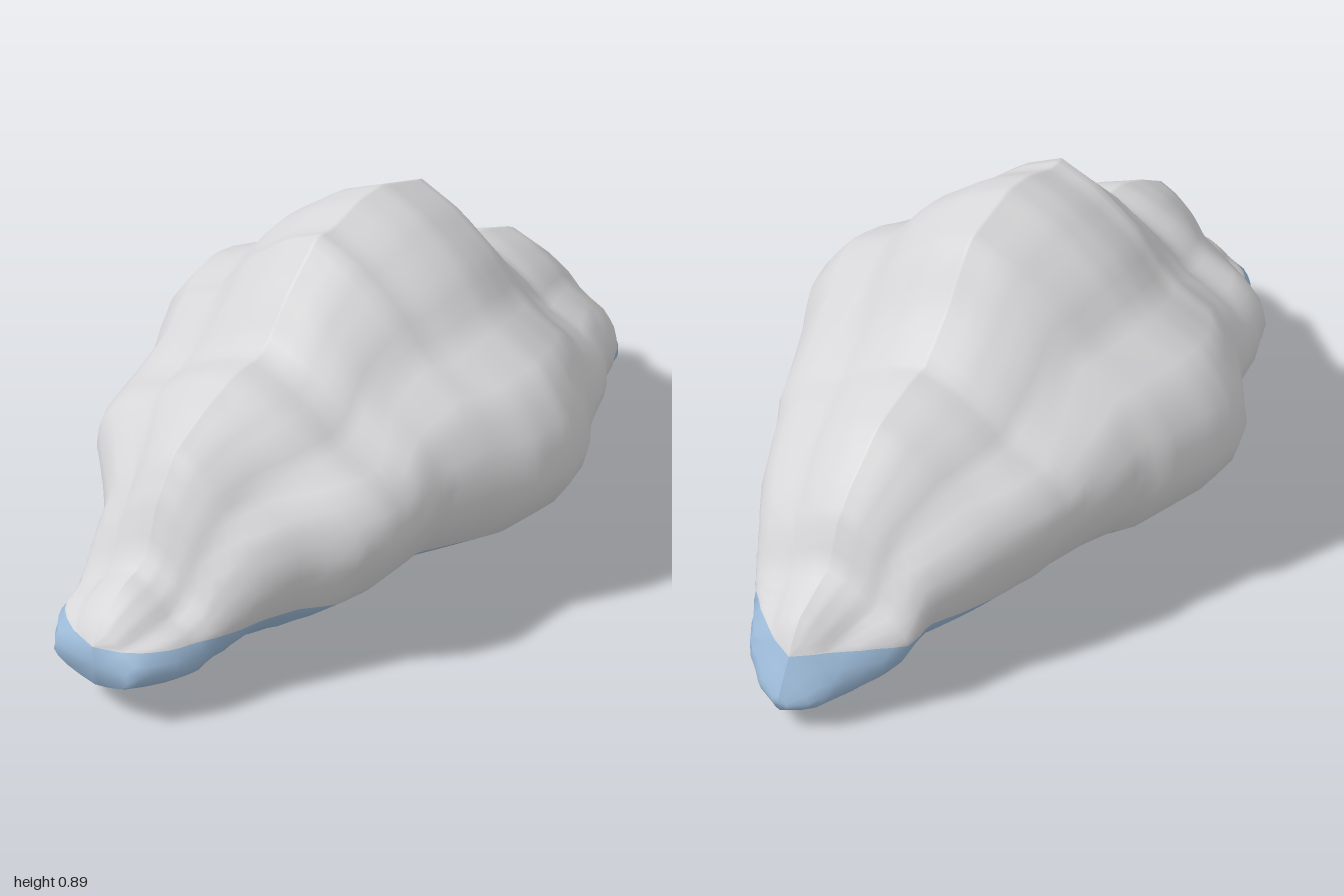
import * as THREE from 'three';

// Outline tables, each a list of [x, value], running from the right end to the left end.
const TOP = [[-1, .18], [-.97, .23], [-.9, .28], [-.84, .3], [-.81, .33], [-.78, .42], [-.71, .53], [-.6, .59],
  [-.5, .63], [-.42, .635], [-.38, .66], [-.32, .74], [-.2, .85], [-.15, .847], [-.05, .88], [.04, .887], [.2, .84],
  [.23, .81], [.3, .71], [.36, .65], [.4, .61], [.47, .6], [.59, .56], [.7, .47], [.76, .4], [.79, .31], [.85, .28],
  [.92, .24], [.95, .18], [.99, .11], [1, .09]];
const BOTTOM = [[-1, .08], [-.97, .06], [-.8, .025], [-.7, .035], [-.6, .01], [-.28, .03], [-.16, .01], [.2, 0],
  [.3, .02], [.58, .005], [.72, .035], [.96, .03], [1, .05]];
const BACK = [[-1, .12], [-.92, .18], [-.7, .23], [-.63, .3], [-.54, .4], [-.42, .44], [-.28, .465], [-.2, .51],
  [-.1, .57], [-.02, .59], [.05, .58], [.18, .52], [.22, .48], [.4, .4], [.46, .385], [.56, .33], [.65, .28],
  [.72, .23], [.8, .21], [.9, .13], [.97, .08], [1, .02]];
const FRONT = [[-1, .1], [-.9, .17], [-.8, .2], [-.62, .31], [-.55, .39], [-.48, .43], [-.3, .44], [-.2, .5],
  [-.1, .565], [0, .585], [.1, .56], [.2, .5], [.4, .42], [.48, .37], [.62, .31], [.72, .25], [.83, .19],
  [.92, .14], [.98, .07], [1, .02]];
// Height at which each slice is widest
const WAIST = [[-1, .13], [-.85, .14], [-.7, .27], [-.5, .35], [0, .37], [.5, .34], [.7, .27], [.85, .13], [1, .07]];
// Half width of a slice against height: above the waist, then below it
const UPPER = [[0, 1], [.21, .95], [.41, .81], [.52, .59], [.74, .42], [.91, .2], [1, 0]];
const LOWER = [[0, 1], [.19, .97], [.46, .86], [.74, .58], [.9, .26], [1, 0]];

const WATERLINE = .18;   // where the underside colour begins
const LOW = 8, HIGH = 18, SLICES = 90;

function lookup(table, x) {
  let i = 1;
  while (i < table.length - 1 && table[i][0] < x) i++;
  const [x0, a] = table[i - 1], [x1, b] = table[i];
  return a + (b - a) * THREE.MathUtils.clamp((x - x0) / (x1 - x0), 0, 1);
}

// One closed slice: up the front side, over the crest and down the back
function slice(x) {
  const top = lookup(TOP, x), bottom = lookup(BOTTOM, x), waist = lookup(WAIST, x);
  const split = Math.min(WATERLINE, top);
  const heights = [];
  for (let i = 0; i < LOW; i++) heights.push(bottom + (split - bottom) * (1 - Math.cos(i / LOW * Math.PI / 2)));
  for (let i = 0; i <= HIGH; i++) heights.push(split + (top - split) * Math.sin(i / HIGH * Math.PI / 2));
  const width = y => y > waist
    ? lookup(UPPER, (y - waist) / (top - waist))
    : lookup(LOWER, (waist - y) / (waist - bottom));
  const front = lookup(FRONT, x), back = lookup(BACK, x);
  const ring = heights.map(y => [x, y, front * width(y)]);
  for (let i = heights.length - 2; i > 0; i--) ring.push([x, heights[i], -back * width(heights[i])]);
  return ring;
}

function cloudGeometry() {
  const n = 2 * (LOW + HIGH);
  const points = [], body = [], underside = [];
  for (let i = 0; i <= SLICES; i++) points.push(...slice(-1 + 2 * i / SLICES));

  // Skin between neighbouring slices
  for (let i = 0; i < SLICES; i++) {
    for (let j = 0; j < n; j++) {
      const k = (j + 1) % n;
      const a = i * n + j, b = a + n, c = (i + 1) * n + k, d = i * n + k;
      (j < LOW || j >= n - LOW ? underside : body).push(a, b, c, a, c, d);
    }
  }
  // Blunt end caps
  for (const [start, x, flip] of [[0, -1, false], [SLICES * n, 1, true]]) {
    const centre = points.length;
    points.push([x, lookup(WAIST, x), 0]);
    for (let j = 0; j < n; j++) {
      const a = start + j, b = start + (j + 1) % n;
      underside.push(centre, flip ? b : a, flip ? a : b);
    }
  }

  const geometry = new THREE.BufferGeometry();
  geometry.setAttribute('position', new THREE.Float32BufferAttribute(points.flat(), 3));
  geometry.setIndex([...body, ...underside]);
  geometry.addGroup(0, body.length, 0);
  geometry.addGroup(body.length, underside.length, 1);
  geometry.computeVertexNormals();
  return geometry;
}

export function createModel() {
  const cloudGrey = new THREE.MeshStandardMaterial({ color: 0xd6d6d8 });
  cloudGrey.name = 'cloud grey';
  const undersideBlue = new THREE.MeshStandardMaterial({ color: 0x9cbad8 });
  undersideBlue.name = 'underside blue';

  const cloud = new THREE.Mesh(cloudGeometry(), [cloudGrey, undersideBlue]);
  cloud.name = 'cloud';
  const model = new THREE.Group();
  model.name = 'cloudModel';
  model.add(cloud);
  return model;
}
